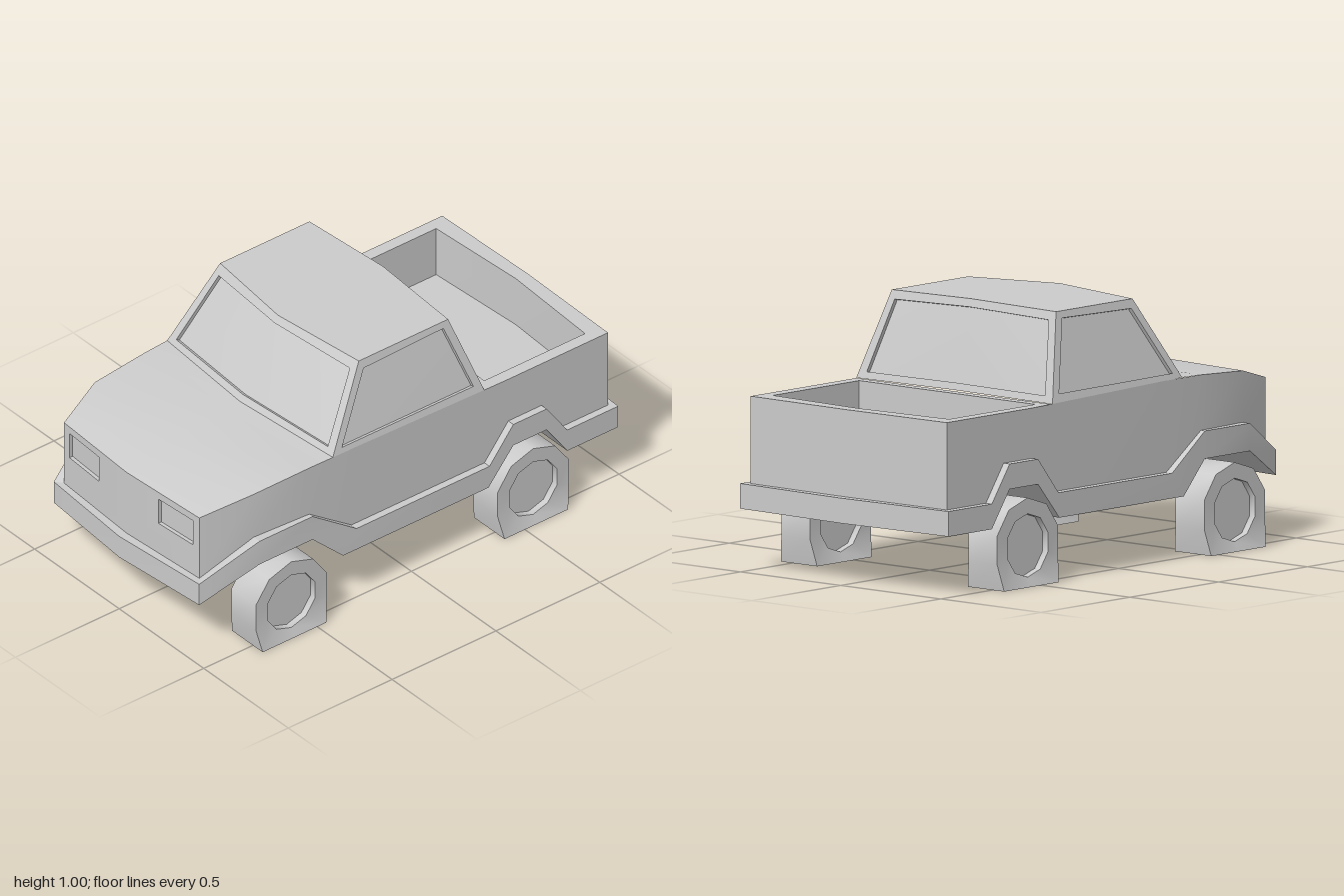
import * as THREE from 'three';
import { toCreasedNormals } from 'three/addons/utils/BufferGeometryUtils.js';

const material = new THREE.MeshStandardMaterial({ color: 0xcccccc });

// Mesh from polygons (fans of corners); mirrored adds the -x copy
function polyMesh(name, polys, mirrored = false) {
  const all = [...polys];
  if (mirrored) {
    for (const p of polys) all.push(p.map(([x, y, z]) => [-x, y, z]).reverse());
  }
  const pos = [];
  for (const p of all) {
    for (let i = 1; i < p.length - 1; i++) pos.push(...p[0], ...p[i], ...p[i + 1]);
  }
  const geo = new THREE.BufferGeometry();
  geo.setAttribute('position', new THREE.Float32BufferAttribute(pos, 3));
  const mesh = new THREE.Mesh(toCreasedNormals(geo, 0.45), material);
  mesh.name = name;
  return mesh;
}

// Frame between two outlines with a sunken pane in the middle
function recessed(outer, inner, [dx, dy, dz]) {
  const deep = inner.map(([x, y, z]) => [x + dx, y + dy, z + dz]);
  const polys = [deep];
  outer.forEach((p, k) => {
    const n = (k + 1) % outer.length;
    polys.push([p, outer[n], inner[n], inner[k]], [inner[k], inner[n], deep[n], deep[k]]);
  });
  return polys;
}

const lerp = (a, b, t) => a.map((v, i) => v + (b[i] - v) * t);
const flip = ([x, y, z]) => [-x, y, z];
// Point on a quad: u across, v up
const onQuad = ([b0, b1, t0, t1], u, v) => lerp(lerp(b0, b1, u), lerp(t0, t1, u), v);

// Symmetric six-point window outline, bent at the centre line
const bentOutline = (q, u, vb, vt, vcb, vct) => {
  const top = onQuad(q, u, vt), bottom = onQuad(q, u, vb);
  return [onQuad(q, 0, vct), flip(top), flip(bottom), onQuad(q, 0, vcb), bottom, top];
};

function buildBody() {
  const group = new THREE.Group();
  group.name = 'body';

  // Stations: trim top z, trim bottom z, trim bottom y, trim top y,
  // trim half width, body half width, body top y, body z
  const stations = [
    [0.965, 0.965, 0.235, 0.33, 0.43, 0.40, 0.605, 0.94],
    [0.735, 0.735, 0.36, 0.465, 0.505, 0.47, 0.66, 0.735],
    [0.48, 0.48, 0.36, 0.465, 0.505, 0.485, 0.675, 0.48],
    [0.28, 0.345, 0.235, 0.33, 0.52, 0.49, 0.677, 0.28],
    [-0.36, -0.355, 0.235, 0.33, 0.52, 0.49, 0.662, -0.36],
    [-0.475, -0.475, 0.375, 0.47, 0.52, 0.49, 0.66, -0.475],
    [-0.635, -0.635, 0.375, 0.47, 0.52, 0.49, 0.66, -0.635],
    [-0.735, -0.735, 0.235, 0.33, 0.52, 0.49, 0.66, -0.735],
    [-0.98, -0.98, 0.235, 0.33, 0.52, 0.49, 0.66, -0.955],
  ];
  const last = stations.length - 1;
  const rows = stations.map(([zt, zb, yb, yt, wo, wi, y, zi], i) => [
    [0, yb, i === 0 ? 1 : i === last ? -1 : zb],
    [wo, yb, zb], [wo, yt, zt], [wi, yt, zi], [wi, y, zi],
  ]);
  const strips = [[], [], [], []];
  for (let i = 0; i < last; i++) {
    for (let j = 0; j < 4; j++) {
      strips[j].push([rows[i][j], rows[i + 1][j], rows[i + 1][j + 1], rows[i][j + 1]]);
    }
  }
  group.add(polyMesh('underside', strips[0], true));
  group.add(polyMesh('sideTrim', [...strips[1], ...strips[2]], true));
  group.add(polyMesh('bodySides', strips[3], true));

  // Bumpers wrap the ends of the trim
  const [f, r] = [rows[0], rows[last]];
  group.add(polyMesh('frontBumper', [
    [f[0], f[1], f[2], [0, 0.33, 1]],
    [[0, 0.33, 1], f[2], f[3], [0, 0.33, 0.965]],
  ], true));
  group.add(polyMesh('rearBumper', [
    [r[1], r[0], [0, 0.33, -1], r[2]],
    [[0, 0.33, -0.965], r[3], r[2], [0, 0.33, -1]],
  ], true));
  group.add(polyMesh('tailgate', [
    [r[3], [0, 0.33, -0.965], [0, 0.66, -0.965], r[4]],
  ], true));

  // Front face with sunken headlights
  const lamp = [[0.175, 0.465], [0.365, 0.465], [0.365, 0.575], [0.175, 0.575]]
    .map(([x, y]) => [x, y, 0.965 - 0.0625 * x]);
  group.add(polyMesh('frontFaceAndHeadlights', recessed(
    [[0, 0.33, 0.965], f[3], f[4], [0, 0.607, 0.965]], lamp, [0, 0, -0.015]), true));

  // Hood, creased along the centre line
  const edge = [f[4], rows[1][4], rows[2][4], [0.49, 0.678, 0.37]];
  const mid = [[0, 0.607, 0.965], [0, 0.668, 0.74], [0, 0.683, 0.48], [0, 0.69, 0.42]];
  group.add(polyMesh('hood', [0, 1, 2].map(i => [mid[i], edge[i], edge[i + 1], mid[i + 1]]), true));

  // Open cargo bed
  const y = 0.66;
  group.add(polyMesh('cargoBed', recessed(
    [[0, y, -0.965], [-0.49, y, -0.955], [-0.49, y, -0.36], [0.49, y, -0.36], [0.49, y, -0.955]],
    [[0, y, -0.91], [-0.44, y, -0.885], [-0.44, y, -0.40], [0.44, y, -0.40], [0.44, y, -0.885]],
    [0, -0.21, 0])));
  return group;
}

function buildCab() {
  const group = new THREE.Group();
  group.name = 'cab';
  // Corners: bottom and top, front and rear, edge and centre
  const bfe = [0.49, 0.678, 0.37], bfc = [0, 0.69, 0.42];
  const bre = [0.49, 0.661, -0.36], brc = [0, 0.665, -0.36];
  const tfe = [0.41, 0.99, 0.18], tfc = [0, 1, 0.235];
  const tre = [0.41, 0.99, -0.25], trc = [0, 1, -0.27];

  group.add(polyMesh('roof', [[tfc, tfe, tre, trc]], true));

  const front = [bfc, bfe, tfc, tfe];
  group.add(polyMesh('windshield', recessed(
    bentOutline(front, 1, 0, 1, 0, 1),
    bentOutline(front, 0.925, 0.07, 0.89, 0.08, 0.91), [0, -0.008, -0.015])));

  // Rear outline runs the other way round
  const back = [brc, bre, trc, tre];
  group.add(polyMesh('rearWindow', recessed(
    bentOutline(back, 1, 0, 1, 0, 1).map(flip),
    bentOutline(back, 0.92, 0.08, 0.9, 0.08, 0.91).map(flip), [0, -0.004, 0.015])));

  const side = [bfe, bre, tfe, tre];
  const pane = [[0.05, 0.07], [0.95, 0.1], [0.92, 0.92], [0.08, 0.89]];
  group.add(polyMesh('sideWindows', recessed(
    [bfe, bre, tre, tfe], pane.map(([u, v]) => onQuad(side, u, v)), [-0.015, -0.004, 0]), true));
  return group;
}

// Ten-sided wheel, sunken hubs on both faces, tyre squashed flat at the ground
function wheelGeometry() {
  const profile = [[0, -0.045], [0.12, -0.045], [0.12, -0.072], [0.18, -0.072],
    [0.18, 0.072], [0.12, 0.072], [0.12, 0.045], [0, 0.045]];
  const geo = new THREE.LatheGeometry(
    profile.map(([r, x]) => new THREE.Vector2(r, x)), 10, Math.PI / 2);
  geo.rotateZ(-Math.PI / 2);
  const p = geo.attributes.position;
  for (let i = 0; i < p.count; i++) {
    const [x, y, z] = [p.getX(i), p.getY(i), p.getZ(i)];
    if (Math.hypot(y, z) > 0.15 && y < -0.1) {
      p.setXYZ(i, x * 1.26, -0.155, Math.abs(z) > 0.01 ? Math.sign(z) * 0.153 : 0);
    }
  }
  geo.deleteAttribute('uv');
  return toCreasedNormals(geo, 0.7);
}

export function createModel() {
  const model = new THREE.Group();
  model.name = 'pickupTruck';
  model.add(buildBody(), buildCab());

  const geo = wheelGeometry();
  for (const [end, z] of [['front', 0.61], ['rear', -0.555]]) {
    for (const [side, s] of [['Left', 1], ['Right', -1]]) {
      const wheel = new THREE.Mesh(geo, material);
      wheel.name = end + side + 'Wheel';
      wheel.position.set(s * 0.467, 0.155, z);
      model.add(wheel);
    }
  }
  return model;
}
